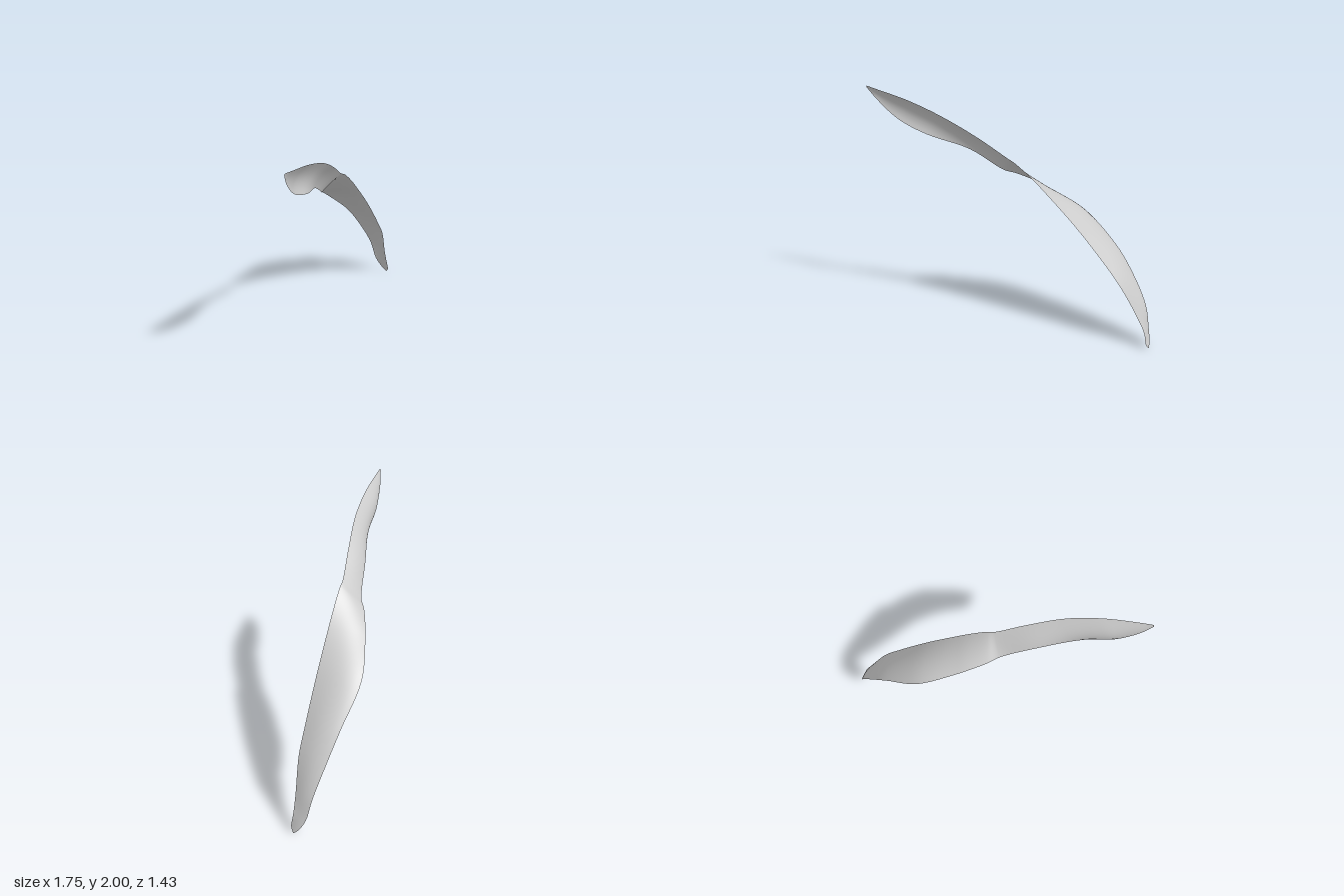
import * as THREE from 'three';

// Matching points along the two rims of the twisted blade: upper rim, lower rim, camber
const SECTIONS = [
  [[-0.875, 2.0, 0.715], [-0.88, 1.985, 0.712], 0],
  [[-0.8, 1.98, 0.67], [-0.83, 1.88, 0.65], 0.1],
  [[-0.6, 1.92, 0.54], [-0.72, 1.74, 0.55], 0.16],
  [[-0.4, 1.82, 0.39], [-0.55, 1.64, 0.42], 0.15],
  [[-0.2, 1.66, 0.2], [-0.34, 1.52, 0.17], 0.08],
  [[-0.04, 1.505, 0.045], [-0.17, 1.355, -0.02], 0.03],
  [[0.0, 1.48, 0.02], [-0.13, 1.315, -0.11], 0.03],
  [[0.1, 1.38, -0.05], [-0.07, 1.26, -0.21], 0.05],
  [[0.2, 1.26, -0.12], [0.0, 1.19, -0.31], 0.07],
  [[0.4, 1.0, -0.26], [0.19, 1.01, -0.53], 0.1],
  [[0.6, 0.7, -0.4], [0.45, 0.76, -0.645], 0.1],
  [[0.7, 0.53, -0.47], [0.6, 0.56, -0.69], 0.09],
  [[0.795, 0.28, -0.565], [0.745, 0.31, -0.715], 0.07],
  [[0.845, 0.14, -0.605], [0.8, 0.13, -0.705], 0.05],
  [[0.868, 0.04, -0.61], [0.845, 0.04, -0.675], 0.03],
  [[0.872, 0.0, -0.638], [0.87, 0.0, -0.645], 0],
];

const ALONG = 90;
const ACROSS = 10;

// Curve through the section points, sampled at the same parameter on both rims
function rim(index) {
  return new THREE.CatmullRomCurve3(SECTIONS.map((s) => new THREE.Vector3(...s[index])));
}

function camberAt(t) {
  const f = t * (SECTIONS.length - 1);
  const i = Math.min(Math.floor(f), SECTIONS.length - 2);
  return THREE.MathUtils.lerp(SECTIONS[i][2], SECTIONS[i + 1][2], f - i);
}

// Skin of the blade: straight chords between the rims, bulged towards the upper side
function bladeGeometry() {
  const upper = rim(0);
  const lower = rim(1);
  const positions = [];
  const indices = [];
  for (let i = 0; i <= ALONG; i++) {
    const t = i / ALONG;
    const a = upper.getPoint(t);
    const b = lower.getPoint(t);
    const chord = a.clone().sub(b);
    const tangent = upper.getTangent(t).add(lower.getTangent(t));
    const up = chord.clone().cross(tangent).normalize();
    const sag = camberAt(t) * chord.length();
    for (let j = 0; j <= ACROSS; j++) {
      const v = j / ACROSS;
      const p = b.clone().lerp(a, v).addScaledVector(up, sag * Math.sin(Math.PI * Math.pow(v, 0.85)));
      positions.push(p.x, Math.max(p.y, 0), p.z);
      if (i < ALONG && j < ACROSS) {
        const k = i * (ACROSS + 1) + j;
        const n = k + ACROSS + 1;
        indices.push(k, k + 1, n, n, k + 1, n + 1);
      }
    }
  }
  const geometry = new THREE.BufferGeometry();
  geometry.setAttribute('position', new THREE.Float32BufferAttribute(positions, 3));
  geometry.setIndex(indices);
  geometry.computeVertexNormals();
  return geometry;
}

export function createModel() {
  const group = new THREE.Group();
  group.name = 'curledLeaf';
  const grey = new THREE.MeshStandardMaterial({ color: 0xcccccc, side: THREE.DoubleSide });
  grey.name = 'lightGrey';
  const blade = new THREE.Mesh(bladeGeometry(), grey);
  blade.name = 'leafBlade';
  group.add(blade);
  return group;
}
